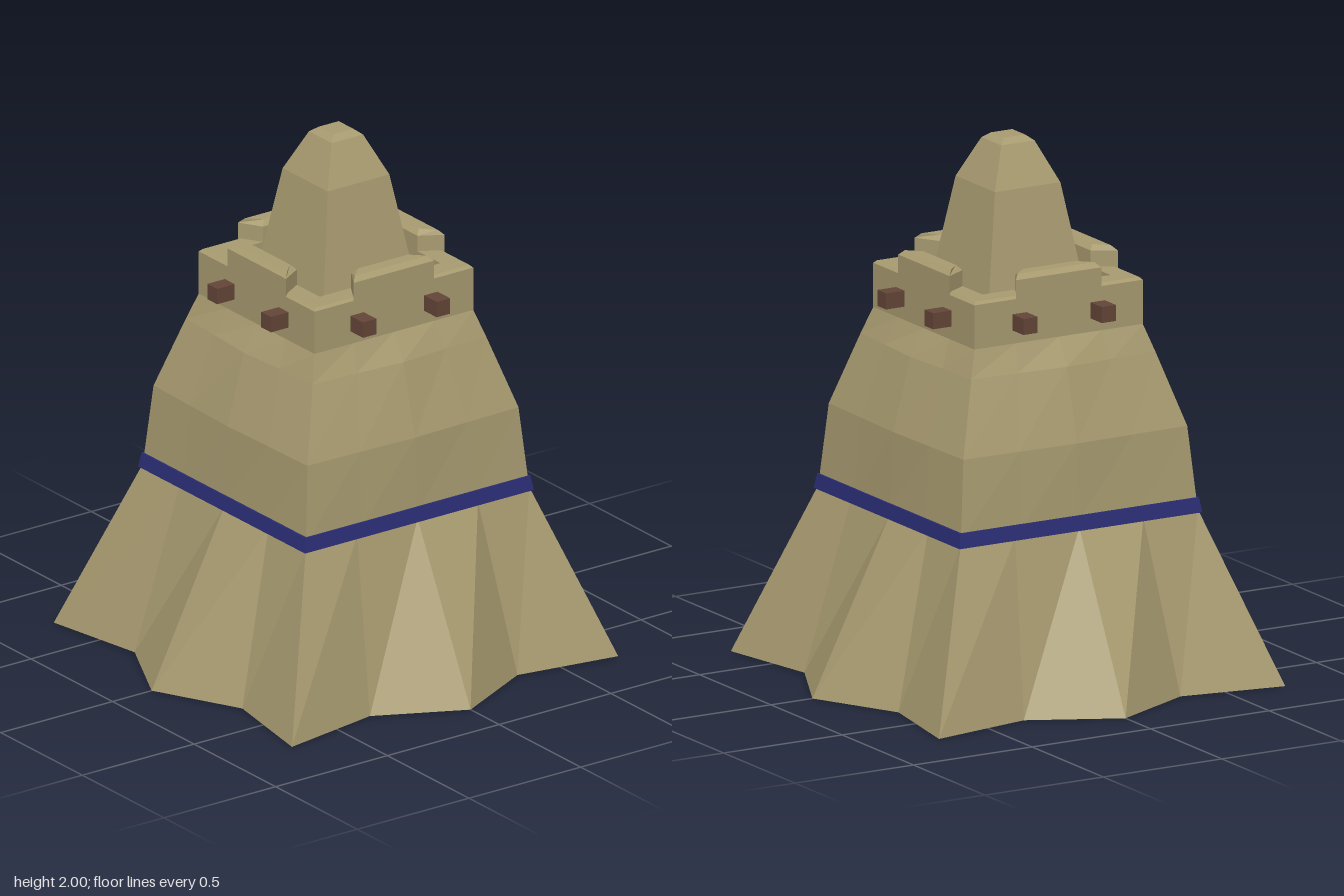
import * as THREE from 'three';

const stone = new THREE.MeshStandardMaterial({ color: 0xa89b70, flatShading: true });
const blue = new THREE.MeshStandardMaterial({ color: 0x2a2e74, flatShading: true });
const wood = new THREE.MeshStandardMaterial({ color: 0x644538, flatShading: true });

// Four-fold ring at height y; side lists the [x, z] points of the front edge
function ring(y, side) {
  const points = [];
  for (let k = 0; k < 4; k++) {
    for (const p of side) {
      let [x, z] = p;
      for (let r = 0; r < k; r++) [x, z] = [z, -x];
      points.push(new THREE.Vector3(x, y, z));
    }
  }
  return points;
}
const square = (half, y) => ring(y, [[-half, half]]);
// Corner, fold, centre ridge, fold
const folded = (y, corner, foldX, foldZ, ridge) =>
  ring(y, [[-corner, corner], [-foldX, foldZ], [0, ridge], [foldX, foldZ]]);

// Skin consecutive rings and cap both ends
function loft(rings) {
  const pos = [];
  const tri = (...vs) => vs.forEach((v) => pos.push(v.x, v.y, v.z));
  const n = rings[0].length;
  const centre = (r) => r.reduce((s, p) => s.add(p), new THREE.Vector3()).divideScalar(n);
  const first = rings[0], last = rings[rings.length - 1];
  const c0 = centre(first), c1 = centre(last);
  for (let i = 0; i < n; i++) {
    const j = (i + 1) % n;
    for (let r = 0; r < rings.length - 1; r++) {
      const a = rings[r], b = rings[r + 1];
      tri(a[i], a[j], b[j]);
      tri(a[i], b[j], b[i]);
    }
    tri(c0, first[j], first[i]);
    tri(c1, last[i], last[j]);
  }
  const geometry = new THREE.BufferGeometry();
  geometry.setAttribute('position', new THREE.Float32BufferAttribute(pos, 3));
  geometry.computeVertexNormals();
  return geometry;
}

export function createModel() {
  const model = new THREE.Group();
  model.name = 'tower';
  const add = (name, geometry, material, parent = model) => {
    const mesh = new THREE.Mesh(geometry, material);
    mesh.name = name;
    parent.add(mesh);
    return mesh;
  };

  // Star-shaped flared foot closing to a square
  add('flaredBase', loft([
    folded(0, 0.73, 0.33, 0.66, 0.825),
    folded(0.64, 0.5, 0.27, 0.5, 0.5),
  ]), stone);

  add('band', loft([square(0.512, 0.63), square(0.503, 0.685)]), blue);

  // Faceted upper body, gently swelling at the middle of each side
  add('upperBody', loft([
    folded(0.66, 0.498, 0.25, 0.498, 0.498),
    folded(0.95, 0.472, 0.24, 0.478, 0.485),
    folded(1.22, 0.388, 0.2, 0.398, 0.412),
    folded(1.32, 0.355, 0.18, 0.355, 0.355),
  ]), stone);

  // Square platform wall with a sunken floor
  add('platform', loft([
    square(0.355, 1.32), square(0.355, 1.485), square(0.345, 1.495),
    square(0.27, 1.495), square(0.27, 1.33),
  ]), stone);

  add('spire', loft([
    square(0.222, 1.325), square(0.138, 1.83), square(0.07, 1.98), square(0.045, 2),
  ]), stone);

  // Mitred parapet with chamfered top
  const slab = (y, inset) => [
    [-0.13 + inset, 0.27 + inset], [-0.18 + inset, 0.355 - inset],
    [0.18 - inset, 0.355 - inset], [0.13 - inset, 0.27 + inset],
  ].map(([x, z]) => new THREE.Vector3(x, y, z));
  const parapet = loft([slab(1.48, 0), slab(1.555, 0), slab(1.573, 0.018)]);
  const beam = new THREE.BoxGeometry(0.06, 0.06, 0.11);

  // Parapet and two projecting beams on every side
  for (let k = 0; k < 4; k++) {
    const side = new THREE.Group();
    side.name = 'platformSide';
    side.rotation.y = (k * Math.PI) / 2;
    add('parapet', parapet, stone, side);
    for (const s of [-1, 1]) add('beamEnd', beam, wood, side).position.set(s * 0.165, 1.4, 0.378);
    model.add(side);
  }
  return model;
}
